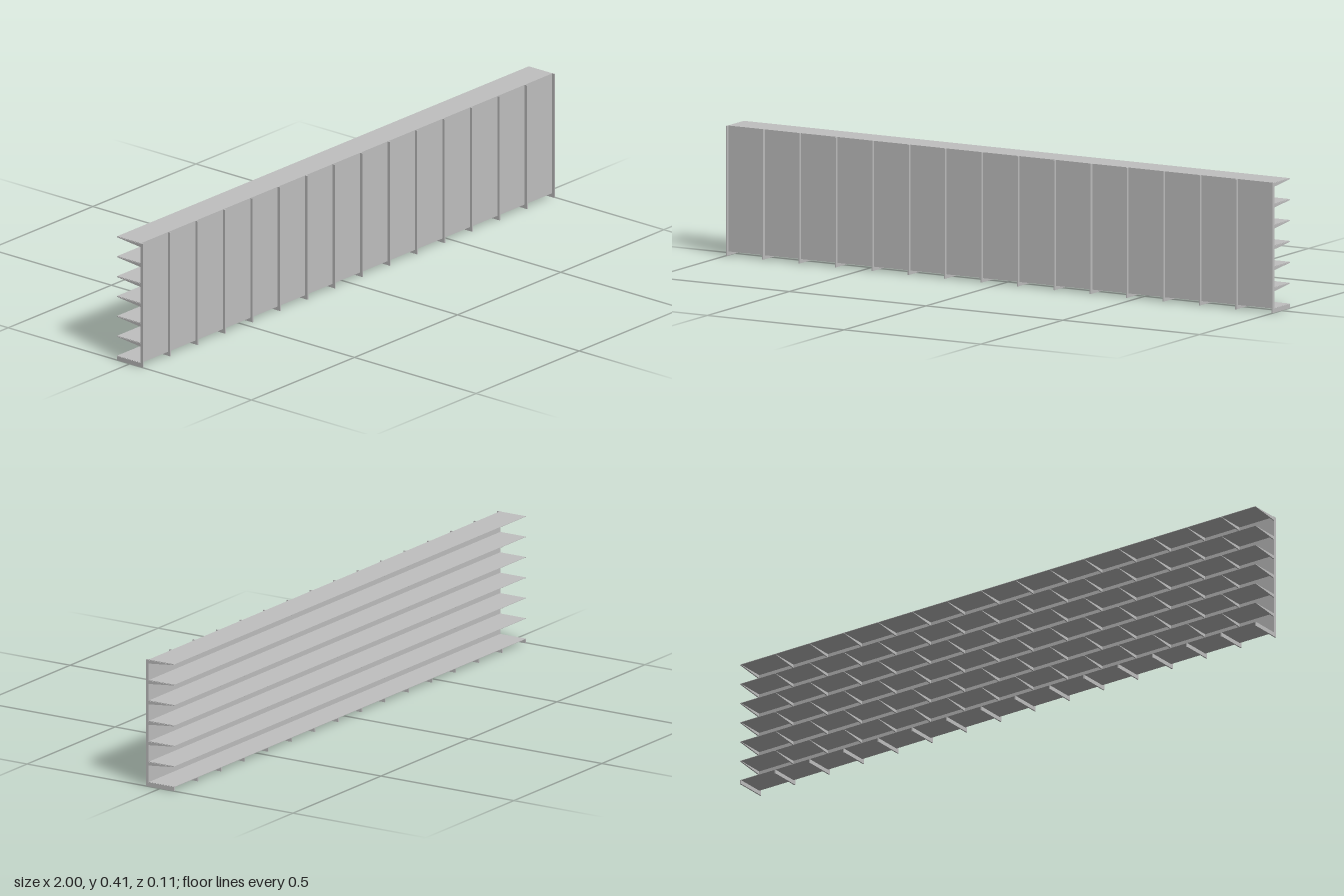
import * as THREE from 'three';

export function createModel() {
  const root = new THREE.Group();
  root.name = 'shelvingRun';
  const metal = new THREE.MeshStandardMaterial({ color: 0xc0c0c0 });
  metal.name = 'light grey metal';

  const BAYS = 15, LEVELS = 7;
  const HEIGHT = 0.414, BASE = 0.0135; // top shelf and base shelf heights
  const FRONT = 0.0535, PANEL = 0.0435, TIP = -0.0535;
  const RIB = 0.004, SHEET = 0.0015;
  const END = 1 - RIB / 2; // centre of the outermost post

  const add = (name, geometry, x = 0, y = 0, z = 0) => {
    const mesh = new THREE.Mesh(geometry, metal);
    mesh.name = name;
    mesh.position.set(x, y, z);
    root.add(mesh);
  };

  // Side outline given as [z, y] points, extruded across x and centred
  const plate = (points) => {
    const shape = new THREE.Shape(points.map(([z, y]) => new THREE.Vector2(-z, y)));
    const geometry = new THREE.ExtrudeGeometry(shape, { depth: RIB, bevelEnabled: false });
    return geometry.translate(0, 0, -RIB / 2).rotateY(Math.PI / 2);
  };

  // L-shaped upright with its foot, and the tapered shelf bracket
  const uprightGeometry = plate([
    [FRONT, 0], [TIP, 0], [TIP, BASE], [PANEL, BASE], [PANEL, HEIGHT], [FRONT, HEIGHT],
  ]);
  const bracketGeometry = plate([
    [PANEL, -0.0125], [TIP, -0.0025], [TIP, -SHEET], [PANEL, -SHEET],
  ]);

  // Sheet panel closing the face between uprights and shelves
  add('panel', new THREE.BoxGeometry(2 * END, HEIGHT - BASE, SHEET),
    0, (HEIGHT + BASE) / 2, PANEL);

  // Shelves, base to top
  const levelY = (i) => BASE + SHEET / 2 + ((HEIGHT - BASE - SHEET / 2) * i) / (LEVELS - 1);
  const shelfGeometry = new THREE.BoxGeometry(2 * END, SHEET, PANEL - TIP);
  for (let i = 0; i < LEVELS; i++) {
    add('shelf', shelfGeometry, 0, levelY(i) - SHEET / 2, (PANEL + TIP) / 2);
  }

  // Uprights, each carrying a bracket under every raised shelf
  for (let p = 0; p <= BAYS; p++) {
    const x = -END + (2 * END * p) / BAYS;
    add('upright', uprightGeometry, x);
    for (let i = 1; i < LEVELS; i++) add('bracket', bracketGeometry, x, levelY(i));
  }
  return root;
}
